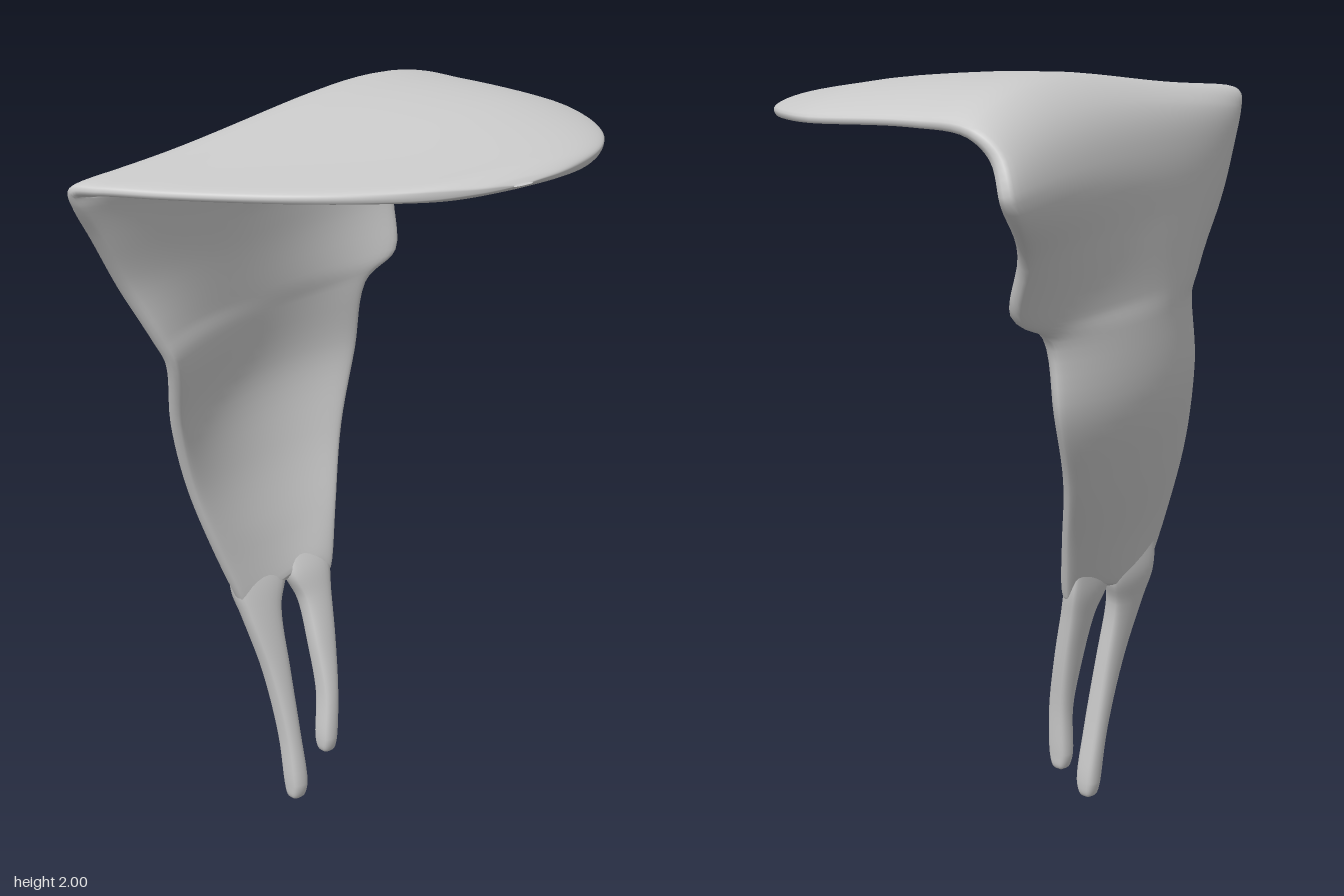
import * as THREE from 'three';

const material = new THREE.MeshStandardMaterial({ color: 0xcccccc, side: THREE.DoubleSide });

// Row: front edge, middle and back edge of the sheet, then half thickness.
const row = (front, middle, back, half) => [front, middle, back, [half, 0, 0]];

// Quadratic through f, m and b at t = 0, 0.5 and 1.
const quadratic = (f, m, b, t) =>
  f * (1 - t) * (1 - 2 * t) + m * 4 * t * (1 - t) + b * t * (2 * t - 1);

// Lofts a rounded-edge sheet through the rows; the height crests towards the back.
function sheet(name, rows, around) {
  const steps = 6;
  const curves = [0, 1, 2, 3].map((k) => new THREE.CatmullRomCurve3(
    rows.map((r) => new THREE.Vector3(...r[k])), false, k === 3 ? 'catmullrom' : 'centripetal'
  ));
  const point = (s, t) => {
    const [f, m, b] = curves.slice(0, 3).map((c) => c.getPoint(THREE.MathUtils.clamp(s, 0, 1)));
    return new THREE.Vector3(
      quadratic(f.x, m.x, b.x, t),
      quadratic(f.y, m.y, b.y, t * t),
      quadratic(f.z, m.z, b.z, t)
    );
  };
  const count = (rows.length - 1) * steps;
  const positions = [];
  const index = [];
  for (let i = 0; i <= count; i++) {
    const s = i / count;
    const half = Math.max(curves[3].getPoint(s).x, 0.001);
    for (let j = 0; j < around; j++) {
      const u = (j / around) * Math.PI * 2;
      const t = (1 - Math.cos(u)) / 2;
      const across = point(s, t + 0.01).sub(point(s, t - 0.01));
      const along = point(s + 0.004, t).sub(point(s - 0.004, t));
      const normal = across.cross(along).normalize();
      const bulge = Math.sign(Math.sin(u)) * Math.sqrt(Math.abs(Math.sin(u)));
      const p = point(s, t).addScaledVector(normal, half * bulge);
      positions.push(p.x, p.y, p.z);
      if (i < count) {
        const a = i * around + j;
        const b = i * around + ((j + 1) % around);
        index.push(a, b, a + around, b, b + around, a + around);
      }
    }
  }
  const geometry = new THREE.BufferGeometry();
  geometry.setAttribute('position', new THREE.Float32BufferAttribute(positions, 3));
  geometry.setIndex(index);
  geometry.computeVertexNormals();
  const mesh = new THREE.Mesh(geometry, material);
  mesh.name = name;
  return mesh;
}

// Blade row: height, front x and z, middle x and rise, back x and z, half thickness.
const bladeRow = ([y, fx, fz, mx, rise, bx, bz, half]) =>
  row([fx, y, fz], [mx, y + rise, 0.01], [bx, y + rise * 0.3, bz], half);

// Plate row: d runs from 1 near the fold to 0 at the outer rim.
function plateRow(d) {
  const x = 0.585 - 0.7 * d;
  const front = -0.02 + 0.84 * d ** 0.48;
  const back = -0.02 - 0.78 * Math.sqrt(1 - (1 - d) ** 2);
  return row(
    [x, 1.89, front],
    [x + 0.04 * d, 1.89 + 0.095 * d, (front + back) / 2],
    [x - 0.08 * d, 1.89 + 0.02 * d, back],
    Math.min(0.025, 0.09 * Math.sqrt(d))
  );
}

// Prong from the tip up (height, centre x and z, half depth), with rounded ends.
function prong(name, sections) {
  const disc = ([y, x, z, depth], half) => row([x, y, z + depth], [x, y, z], [x, y, z - depth], half);
  const [y, x, z, depth] = sections[0];
  const last = sections.length - 1;
  const rows = sections.map((section, i) => disc(section, i === last ? 0.018 : 0.031));
  rows.unshift(
    disc([y - 0.05, x, z, depth * 0.2], 0.004),
    disc([y - 0.04, x, z, depth * 0.75], 0.02)
  );
  return sheet(name, rows, 24);
}

export function createModel() {
  const group = new THREE.Group();
  group.name = 'boneFragment';

  // Upright blade folding over into the domed, half-round top plate
  const blade = [
    [0.61, -0.225, 0.185, -0.23, 0.05, -0.215, -0.12, 0.004],
    [0.63, -0.225, 0.195, -0.235, 0.045, -0.215, -0.13, 0.025],
    [0.8, -0.235, 0.27, -0.275, 0, -0.26, -0.19, 0.032],
    [1, -0.235, 0.35, -0.34, 0, -0.34, -0.285, 0.034],
    [1.2, -0.2, 0.42, -0.385, 0, -0.395, -0.39, 0.036],
    [1.39, -0.14, 0.475, -0.375, 0, -0.395, -0.43, 0.04],
    [1.46, -0.14, 0.515, -0.37, 0, -0.4, -0.555, 0.04],
    [1.61, -0.15, 0.61, -0.365, 0.02, -0.48, -0.62, 0.042],
    [1.75, -0.13, 0.7, -0.355, 0.03, -0.565, -0.775, 0.046],
    [1.84, -0.11, 0.765, -0.315, 0.05, -0.525, -0.765, 0.045],
    [1.88, -0.1, 0.785, -0.23, 0.08, -0.46, -0.775, 0.036],
    [1.89, -0.03, 0.765, -0.1, 0.082, -0.28, -0.77, 0.028],
  ].map(bladeRow);
  const plate = [0.7, 0.5, 0.32, 0.18, 0.08, 0.02, 0.001].map(plateRow);
  group.add(sheet('bladeAndTopPlate', [...blade, ...plate], 64));

  // Two slender prongs below the blade, the front one longer
  group.add(prong('frontProng', [
    [0.05, -0.147, 0.063, 0.028], [0.2, -0.162, 0.073, 0.027],
    [0.4, -0.19, 0.095, 0.038], [0.58, -0.222, 0.12, 0.063],
    [0.66, -0.24, 0.115, 0.09], [0.74, -0.253, 0.12, 0.08],
  ]));
  group.add(prong('backProng', [
    [0.165, -0.138, -0.046, 0.026], [0.3, -0.145, -0.056, 0.027],
    [0.45, -0.175, -0.062, 0.04], [0.58, -0.208, -0.065, 0.053],
    [0.66, -0.228, -0.055, 0.075], [0.74, -0.248, -0.06, 0.07],
  ]));

  return group;
}
